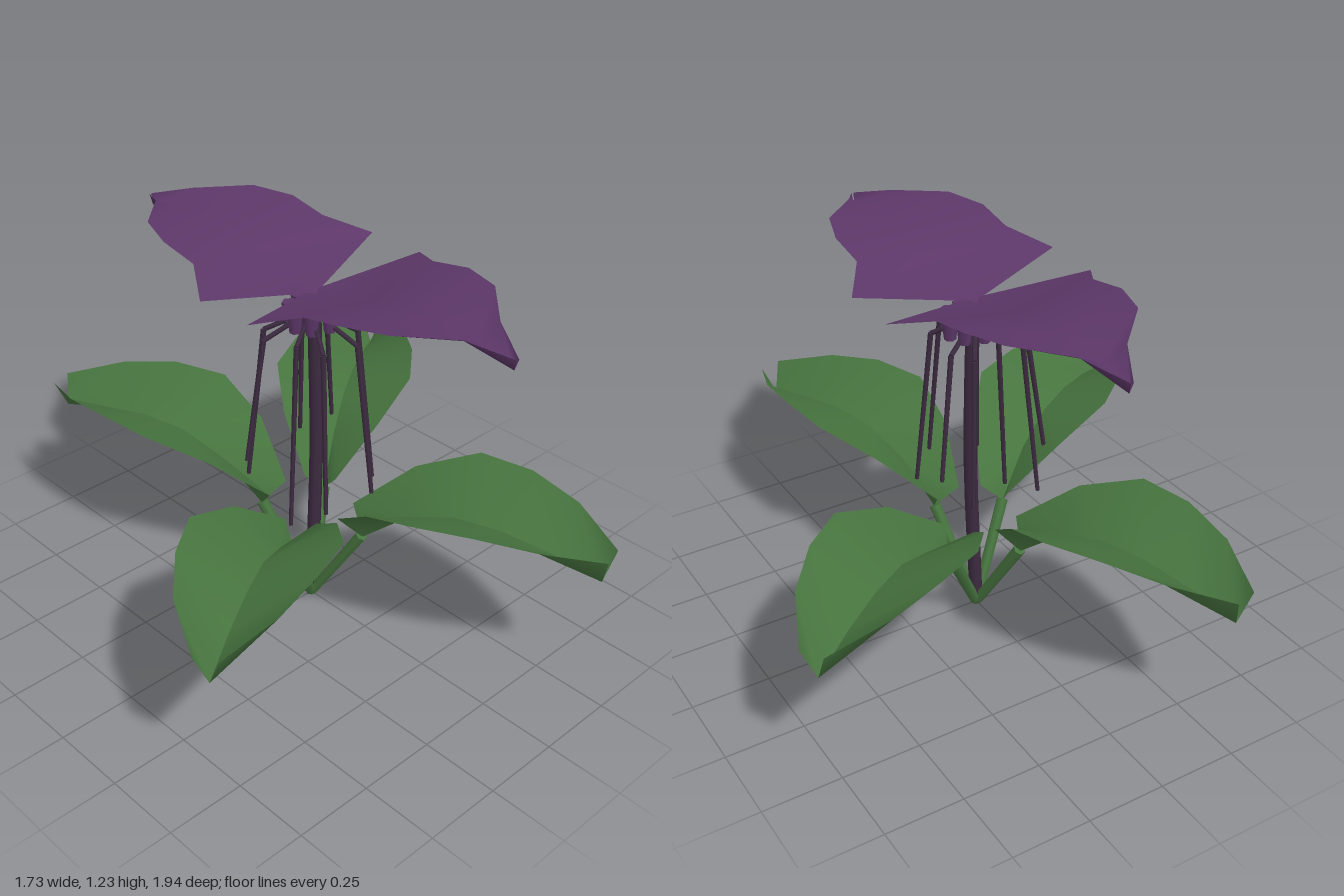
import * as THREE from 'three';

const green = new THREE.MeshStandardMaterial({ color: 0x47743f, side: THREE.DoubleSide });
green.name = 'leaf green';
const purple = new THREE.MeshStandardMaterial({ color: 0x5c3768, side: THREE.DoubleSide });
purple.name = 'bract purple';
const dark = new THREE.MeshStandardMaterial({ color: 0x3c2a40 });
dark.name = 'stem dark purple';

const V = (x, y, z) => new THREE.Vector3(x, y, z);

// Channel-folded blade along +x: stations are [x, y, halfWidth]; edges rise along the curve's normal.
function bladeGeometry(stations, rise, crease) {
  const pos = [], index = [];
  const last = stations.length - 1;
  const addRow = (i, side) => {
    const [x, y, w] = stations[i];
    const a = stations[Math.max(0, i - 1)], b = stations[Math.min(last, i + 1)];
    const len = Math.hypot(b[0] - a[0], b[1] - a[1]);
    const nx = -(b[1] - a[1]) / len, ny = (b[0] - a[0]) / len;
    if (side === 0) pos.push(x, y, 0);
    else pos.push(x + nx * rise, y + ny * rise, side * w);
    return pos.length / 3 - 1;
  };
  let shared = null;
  for (const side of [1, -1]) {
    // a creased midrib gets its own vertices on each half
    if (!shared || crease) shared = stations.map((_, i) => addRow(i, 0));
    const edge = stations.map((_, i) => addRow(i, side));
    for (let i = 0; i < last; i++) {
      const c0 = shared[i], c1 = shared[i + 1], e0 = edge[i], e1 = edge[i + 1];
      if (side > 0) index.push(c0, e0, c1, e0, e1, c1);
      else index.push(c0, c1, e0, e0, c1, e1);
    }
  }
  const geo = new THREE.BufferGeometry();
  geo.setAttribute('position', new THREE.Float32BufferAttribute(pos, 3));
  geo.setIndex(index);
  geo.computeVertexNormals();
  return geo;
}

// Straight rod between two points
function rod(name, a, b, r0, r1, sides, material) {
  const dir = b.clone().sub(a);
  const mesh = new THREE.Mesh(new THREE.CylinderGeometry(r1, r0, dir.length(), sides), material);
  mesh.position.copy(a).add(b).multiplyScalar(0.5);
  mesh.quaternion.setFromUnitVectors(V(0, 1, 0), dir.normalize());
  mesh.name = name;
  return mesh;
}

export function createModel() {
  const plant = new THREE.Group();
  plant.name = 'plant';

  // Four arching leaves on slanted stalks
  const leafGeo = bladeGeometry([
    [0.19, 0.285, 0.05], [0.34, 0.41, 0.16], [0.5, 0.472, 0.23],
    [0.66, 0.48, 0.205], [0.82, 0.46, 0.148], [0.983, 0.42, 0.037],
  ], 0.1, true);
  for (const [deg, size] of [[-33.5, 1.0], [74.5, 0.99], [149.5, 0.985], [254.1, 0.994]]) {
    const leaf = new THREE.Group();
    leaf.name = 'leaf';
    const blade = new THREE.Mesh(leafGeo, green);
    blade.name = 'leafBlade';
    blade.scale.set(size, 1, 1);
    leaf.add(blade, rod('leafStalk', V(0.005, 0, 0), V(0.185, 0.29, 0), 0.017, 0.02, 6, green));
    leaf.rotation.y = -THREE.MathUtils.degToRad(deg);
    plant.add(leaf);
  }

  // Flower stem, slightly bowed
  const stemPath = new THREE.CatmullRomCurve3([V(0, 0, 0), V(0.02, 0.55, 0), V(0.01, 1.06, 0)]);
  const stem = new THREE.Mesh(new THREE.TubeGeometry(stemPath, 8, 0.022, 7), dark);
  stem.name = 'flowerStem';
  plant.add(stem);

  // Two wing-like bracts, front and back
  const bractGeo = bladeGeometry([
    [0.01, 1.065, 0.02], [0.112, 1.112, 0.345], [0.24, 1.153, 0.258], [0.37, 1.177, 0.258],
    [0.5, 1.184, 0.212], [0.63, 1.173, 0.075], [0.752, 1.138, 0.004],
  ], 0.036, false);
  for (const side of [1, -1]) {
    const bract = new THREE.Mesh(bractGeo, purple);
    bract.name = side > 0 ? 'frontBract' : 'backBract';
    bract.position.x = 0.008;
    bract.rotation.y = -side * Math.PI / 2;
    plant.add(bract);
  }

  // Ring of small flower buds
  for (let i = 0; i < 8; i++) {
    const a = (i / 8) * Math.PI * 2;
    const bud = new THREE.Mesh(new THREE.CylinderGeometry(0.026, 0.018, 0.075, 6), purple);
    bud.name = 'flowerBud';
    bud.position.set(0.012 + Math.cos(a) * 0.077, 1.025, Math.sin(a) * 0.066);
    plant.add(bud);
  }

  // Hanging whiskers: each leaves the flower outward, then drops to [x, y, z]
  const tips = [
    [-0.205, 0.57, -0.07], [-0.14, 0.46, -0.14], [0.12, 0.5, -0.18], [0.175, 0.57, -0.09],
    [0.14, 0.45, 0.13], [0.04, 0.48, 0.225], [-0.12, 0.46, 0.19], [-0.15, 0.37, 0.065],
  ];
  for (const [x, y, z] of tips) {
    const whisker = new THREE.Group();
    whisker.name = 'whisker';
    const elbow = V(x * 0.71, 0.97, z * 0.73);
    whisker.add(
      rod('whiskerRoot', V(x * 0.3, 1.01, z * 0.3), elbow, 0.008, 0.008, 5, dark),
      rod('whiskerDrop', elbow, V(x, y, z), 0.009, 0.007, 5, dark),
    );
    plant.add(whisker);
  }
  return plant;
}
